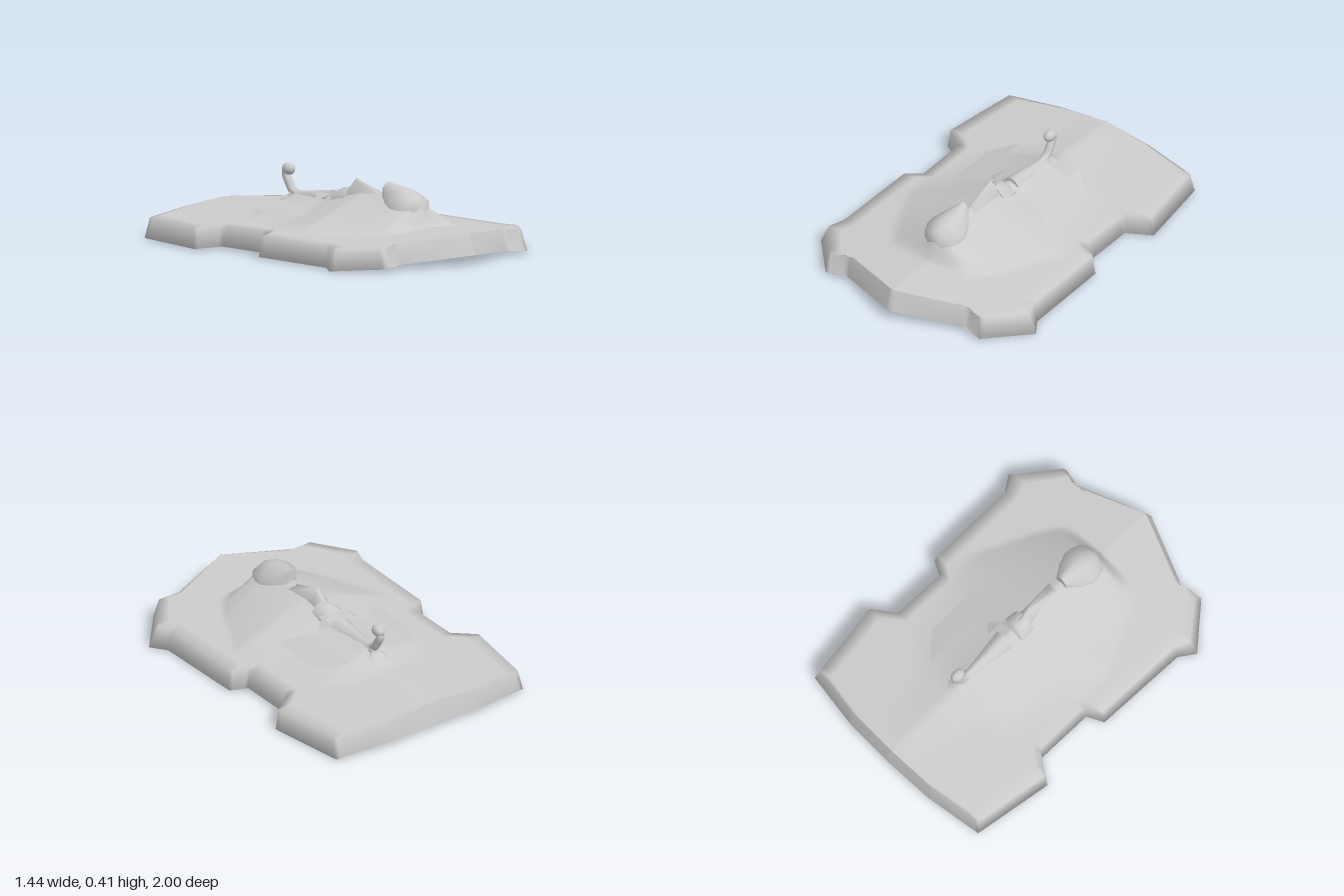
import * as THREE from 'three';
import { mergeVertices, toCreasedNormals } from 'three/addons/utils/BufferGeometryUtils.js';

const material = new THREE.MeshStandardMaterial({ color: 0xcccccc, side: THREE.DoubleSide });

// Half outline from front tip to rear: top edge x, z, matching spine z, then lower edge x, z
const OUTLINE = [
  [0, 0.955, 0.955, 0, 0.995], [0.40, 0.805, 0.85, 0.40, 0.835], [0.505, 0.83, 0.75, 0.515, 0.865],
  [0.67, 0.625, 0.62, 0.72, 0.63], [0.635, 0.53, 0.53, 0.66, 0.54], [0.63, 0.0, 0.0, 0.65, 0.0],
  [0.54, -0.055, -0.05, 0.56, -0.05], [0.545, -0.38, -0.38, 0.56, -0.385], [0.67, -0.47, -0.47, 0.69, -0.47],
  [0.605, -0.91, -0.85, 0.625, -0.93], [0.30, -0.96, -0.92, 0.30, -0.985], [0, -0.972, -0.972, 0, -1],
];

// Central swell along z: position, height above the base slope, half width, hollowness of its flanks
const SWELL = [
  [0.62, 0, 0.25, 1], [0.595, 0.05, 0.26, 1], [0.56, 0.13, 0.28, 1], [0.47, 0.145, 0.34, 1], [0.14, 0.145, 0.5, 1],
  [0, 0.125, 0.5, 1.3], [-0.1, 0.105, 0.48, 1.6], [-0.4, 0.085, 0.42, 1.8], [-0.5, 0.04, 0.3, 1.6],
  [-0.56, 0.018, 0.2, 1], [-0.95, 0, 0.12, 1],
];

function deckHeight(x, z) {
  const base = 0.17 - 0.083 * Math.abs(x);
  const i = SWELL.findIndex((row, k) => k > 0 && z <= SWELL[k - 1][0] && z >= row[0]);
  if (i < 0) return base;
  const a = SWELL[i - 1], b = SWELL[i], t = (a[0] - z) / (a[0] - b[0]);
  const [, h, reach, power] = a.map((v, k) => v + (b[k] - v) * t);
  return base + h * Math.max(0, 1 - Math.abs(x) / reach) ** power;
}

function undersideHeight(x) {
  return 0.055 * (1 - Math.abs(x) / 0.72);
}

function geometryFrom(positions, index) {
  const g = new THREE.BufferGeometry();
  g.setAttribute('position', new THREE.Float32BufferAttribute(positions, 3));
  g.setIndex(index);
  return g;
}

// Whole outline, subdivided and mirrored into a loop
function outlineLoop() {
  const half = [];
  for (let i = 1; i < OUTLINE.length; i++) {
    const a = OUTLINE[i - 1], b = OUTLINE[i];
    const n = Math.ceil(Math.hypot(b[0] - a[0], b[1] - a[1]) / 0.025);
    for (let k = 0; k < n; k++) half.push(a.map((v, j) => v + (b[j] - v) * k / n));
  }
  half.push(OUTLINE[OUTLINE.length - 1]);
  const mirrored = half.map(([x, z, s, lx, lz]) => [-x, z, s, -lx, lz]).reverse();
  return [...half, ...mirrored.slice(1)];
}

// Upper surface from spine to edge, flared rim, then the underside back to the spine.
// The wide steps beside the rim soften its edges.
function bodyStrip([x, z, s, lx, lz]) {
  const rows = 24, strip = [];
  for (let j = 0; j <= rows; j++) {
    const t = j < rows ? 0.88 * j / (rows - 1) : 1;
    const px = x * t, pz = s + (z - s) * t;
    strip.push([px, deckHeight(px, pz), pz]);
  }
  for (const t of [1, 0.85, 0.45, 0]) strip.push([lx * t, undersideHeight(lx * t), s + (lz - s) * t]);
  return strip;
}

// Joins the strips, one per outline point
function bodyGeometry() {
  const strips = outlineLoop().map(bodyStrip);
  const idx = [], stride = strips[0].length;
  for (let i = 0; i < strips.length - 1; i++) {
    for (let j = 0; j < stride - 1; j++) {
      const a = i * stride + j, b = a + stride;
      idx.push(a, a + 1, b + 1, a, b + 1, b);
    }
  }
  const g = mergeVertices(geometryFrom(strips.flat(2), idx), 1e-4);
  g.computeVertexNormals();
  return g;
}

// Ridge body from sections [z, halfWidth, baseY, shoulderY, topY], ordered front to rear
function ridgeGeometry(sections, crown, crease) {
  const pos = [], idx = [], n = 7;
  for (const [z, w, base, shoulder, top] of sections) {
    const side = [[w, base], [w, shoulder], [w * crown, top - 0.008]];
    const ring = [...side, [0, top], ...side.map(([x, y]) => [-x, y]).reverse()];
    ring.forEach(([x, y]) => pos.push(x, y, z));
  }
  const last = (sections.length - 1) * n;
  for (let k = 0; k < last; k += n) {
    for (let i = 0; i < n; i++) {
      const a = k + i, b = k + (i + 1) % n;
      idx.push(a, a + n, b + n, a, b + n, b);
    }
  }
  for (let i = 1; i < n - 1; i++) idx.push(0, i, i + 1, last, last + i + 1, last + i);
  return toCreasedNormals(geometryFrom(pos, idx), crease);
}

// Thin flat sheet from a few corners
function sheetGeometry(corners) {
  const idx = [];
  for (let i = 1; i < corners.length - 1; i++) idx.push(0, i, i + 1);
  const g = geometryFrom(corners.flat(), idx);
  g.computeVertexNormals();
  return g;
}

export function createModel() {
  const group = new THREE.Group();
  const add = (name, geometry) => {
    const mesh = new THREE.Mesh(geometry, material);
    mesh.name = name;
    group.add(mesh);
    return mesh;
  };

  add('body', bodyGeometry());

  // Hooded hump at the front
  add('frontHood', ridgeGeometry([
    [0.575, 0.05, 0.2, 0.275, 0.305], [0.55, 0.085, 0.2, 0.295, 0.327], [0.5, 0.105, 0.2, 0.305, 0.358],
    [0.45, 0.11, 0.2, 0.305, 0.367], [0.38, 0.08, 0.2, 0.325, 0.377], [0.315, 0.035, 0.2, 0.355, 0.385],
  ], 0.35, 1.4));

  // Narrow rising fin ahead of the seat
  add('centreFin', ridgeGeometry([
    [0.3, 0.055, 0.2, 0.285, 0.305], [0.07, 0.04, 0.2, 0.29, 0.38],
    [0.03, 0.045, 0.2, 0.29, 0.327], [0.0, 0.05, 0.2, 0.29, 0.322],
  ], 0.25, 1.4));

  // Block closing the front of the seat
  add('seatFront', ridgeGeometry([
    [0.04, 0.07, 0.2, 0.27, 0.32], [-0.03, 0.075, 0.2, 0.275, 0.318], [-0.055, 0.075, 0.2, 0.27, 0.295],
  ], 0.4, 1.2));

  // Low ridge running back to the post
  add('seatRidge', ridgeGeometry([
    [-0.11, 0.065, 0.18, 0.245, 0.295], [-0.25, 0.048, 0.18, 0.24, 0.277],
    [-0.37, 0.035, 0.17, 0.235, 0.264], [-0.44, 0.03, 0.16, 0.23, 0.272],
  ], 0.4, 1.4));

  // Curled rear post with a rounded tip and a sloping foot
  const curl = new THREE.CatmullRomCurve3([
    [-0.39, 0.235], [-0.437, 0.262], [-0.463, 0.3], [-0.485, 0.342], [-0.475, 0.372],
  ].map(([z, y]) => new THREE.Vector3(0, y, z)));
  add('rearPost', new THREE.TubeGeometry(curl, 16, 0.023, 8));
  const knob = add('rearPostTip', new THREE.SphereGeometry(1, 10, 8));
  knob.scale.set(0.031, 0.033, 0.044);
  knob.position.set(0, 0.372, -0.466);
  const foot = add('rearPostFoot', new THREE.CylinderGeometry(0.025, 0.1, 0.06, 12));
  foot.position.set(0, 0.205, -0.445);

  // Sloping side plates and small pointed flaps by the seat
  for (const s of [1, -1]) {
    const side = s > 0 ? 'left' : 'right';
    add(side + 'SidePlate', sheetGeometry([
      [0.2 * s, 0.237, -0.47], [0.2 * s, 0.237, -0.09], [0.33 * s, 0.192, 0.01], [0.33 * s, 0.192, -0.34],
    ]));
    add(side + 'SeatFlap', sheetGeometry([
      [0.075 * s, 0.285, -0.165], [0.075 * s, 0.285, -0.055], [0.135 * s, 0.25, -0.11],
    ]));
  }
  return group;
}
